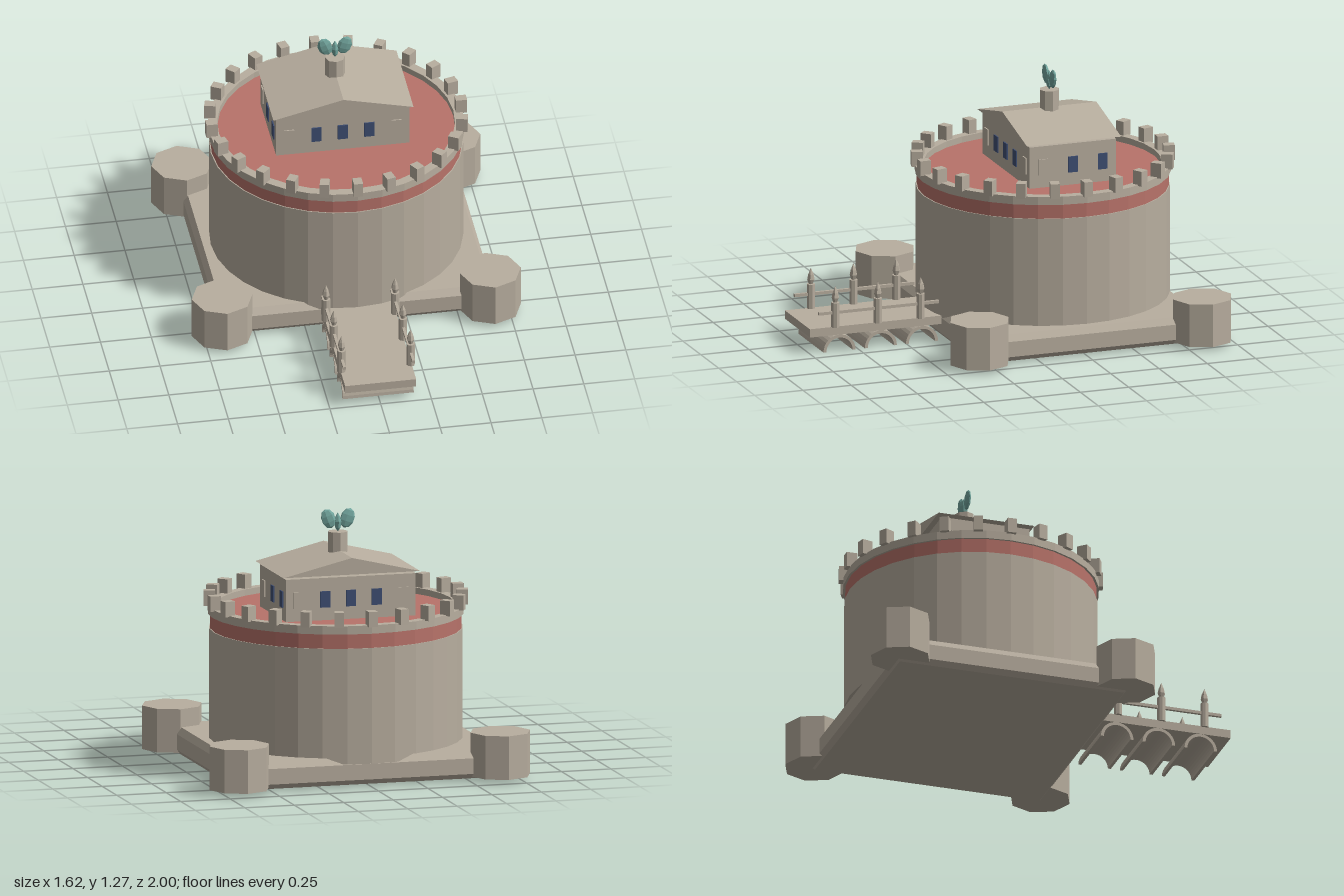
import * as THREE from 'three';

const material = (name, color) => {
  const m = new THREE.MeshStandardMaterial({ color, flatShading: true });
  m.name = name;
  return m;
};

export function createModel() {
  const stone = material('stone', 0xb8ae9f);
  const brick = material('red brick', 0xb8736a);
  const glass = material('dark blue glass', 0x3f4f74);
  const patina = material('green patina', 0x74a8a0);

  const model = new THREE.Group();
  model.name = 'fortress';
  const CZ = -0.27; // centre of the drum and platform

  const add = (name, geo, mat, x = 0, y = 0, z = 0, parent = model) => {
    const mesh = new THREE.Mesh(geo, mat);
    mesh.name = name;
    mesh.position.set(x, y, z);
    parent.add(mesh);
    return mesh;
  };
  const lathe = (pts, n) => new THREE.LatheGeometry(pts.map(([r, y]) => new THREE.Vector2(r, y)), n);
  const box = (w, h, d) => new THREE.BoxGeometry(w, h, d);

  // Platform: stacked rectangular cross-sections with chamfered rims
  const levels = [[0.655, 0.573, 0.01], [0.677, 0.595, 0.035], [0.677, 0.595, 0.112], [0.655, 0.568, 0.145]];
  const pos = [], idx = [];
  for (const [hx, hz, y] of levels) pos.push(-hx, y, hz, hx, y, hz, hx, y, -hz, -hx, y, -hz);
  for (let l = 0; l < levels.length - 1; l++) {
    for (let i = 0; i < 4; i++) {
      const a = l * 4 + i, b = l * 4 + (i + 1) % 4;
      idx.push(a, b, b + 4, a, b + 4, a + 4);
    }
  }
  idx.push(0, 2, 1, 0, 3, 2, 12, 13, 14, 12, 14, 15);
  const platform = new THREE.BufferGeometry();
  platform.setAttribute('position', new THREE.Float32BufferAttribute(pos, 3));
  platform.setIndex(idx);
  platform.computeVertexNormals();
  add('platform', platform, stone, 0, 0, CZ - 0.007);

  // Corner bastions
  const bastion = new THREE.CylinderGeometry(0.15, 0.15, 0.215, 8);
  for (const x of [-0.66, 0.66]) for (const z of [-0.85, 0.303]) add('bastion', bastion, stone, x, 0.1275, z);

  // Drum, red band with terrace floor, and parapet ring
  add('drum', new THREE.CylinderGeometry(0.617, 0.617, 0.57, 32), stone, 0, 0.4, CZ);
  add('redBandAndTerrace', new THREE.CylinderGeometry(0.612, 0.612, 0.087, 32), brick, 0, 0.7235, CZ);
  add('parapetRing', lathe([[0.577, 0.757], [0.623, 0.757], [0.623, 0.798], [0.577, 0.798], [0.577, 0.757]], 32), stone, 0, 0, CZ);

  // Merlons around the parapet
  const merlon = box(0.045, 0.075, 0.055);
  for (let i = 0; i < 24; i++) {
    const a = (i / 24) * Math.PI * 2;
    add('merlon', merlon, stone, Math.sin(a) * 0.614, 0.83, CZ + Math.cos(a) * 0.614).rotation.y = a;
  }

  // House on the terrace; each half turn repeats a long and a short wall
  const house = new THREE.Group();
  house.name = 'house';
  house.position.z = -0.304;
  model.add(house);
  add('houseWalls', box(0.656, 0.215, 0.448), stone, 0, 0.8675, 0, house);
  for (const s of [1, -1]) {
    for (const x of [-0.265, -0.13, 0, 0.13, 0.265]) {
      const blind = Math.abs(x) > 0.2;
      add(blind ? 'blindWindow' : 'window', box(0.05, 0.08, 0.009), blind ? stone : glass, x, 0.87, s * 0.2255, house);
    }
    for (const z of [0.153, 0, -0.153]) {
      const blind = z > 0;
      add(blind ? 'blindWindow' : 'window', box(0.009, 0.08, 0.048), blind ? stone : glass, s * 0.3295, 0.87, s * z, house);
    }
  }

  // Gabled roof, set just above the walls
  const gable = new THREE.Shape([new THREE.Vector2(-0.345, 0.988), new THREE.Vector2(0.345, 0.988), new THREE.Vector2(0, 1.07)]);
  add('roof', new THREE.ExtrudeGeometry(gable, { depth: 0.488, bevelEnabled: false }), stone, 0, 0, -0.244, house);

  // Pedestal and winged ornament
  add('pedestal', new THREE.CylinderGeometry(0.049, 0.049, 0.14, 8), stone, 0, 1.09, 0, house);
  add('ornamentBody', lathe([[0, 0], [0.014, 0.02], [0.018, 0.05], [0.011, 0.075], [0, 0.095]], 6), patina, 0, 1.158, 0, house);
  for (const s of [1, -1]) {
    const wing = add('ornamentWing', new THREE.SphereGeometry(1, 7, 5), patina, s * 0.048, 1.223, 0, house);
    wing.scale.set(0.037, 0.05, 0.014);
    wing.rotation.z = -s * 0.35;
  }

  // Bridge deck and thin arches
  const bridge = new THREE.Group();
  bridge.name = 'bridge';
  model.add(bridge);
  add('deck', box(0.35, 0.042, 0.71), stone, 0, 0.104, 0.645, bridge);
  const archShape = new THREE.Shape();
  archShape.absarc(0, 0, 0.083, 0, Math.PI, false);
  archShape.absarc(0, 0, 0.068, Math.PI, 0, true);
  const arch = new THREE.ExtrudeGeometry(archShape, { depth: 0.35, bevelEnabled: false, curveSegments: 8 });
  arch.translate(0, 0, -0.175);
  arch.rotateY(Math.PI / 2);
  for (const z of [0.42, 0.633, 0.847]) add('arch', arch, stone, 0, 0, z, bridge);

  // Railings: posts with pointed finials, joined by a rail
  const post = new THREE.CylinderGeometry(0.021, 0.021, 0.125, 8);
  const finial = lathe([[0, 0], [0.01, 0], [0.019, 0.025], [0.014, 0.05], [0, 0.083]], 6);
  for (const x of [-0.17, 0.17]) {
    add('rail', box(0.014, 0.015, 0.62), stone, x, 0.197, 0.643, bridge);
    for (const z of [0.425, 0.647, 0.867]) {
      add('post', post, stone, x, 0.185, z, bridge);
      add('finial', finial, stone, x, 0.246, z, bridge);
    }
  }
  return model;
}
